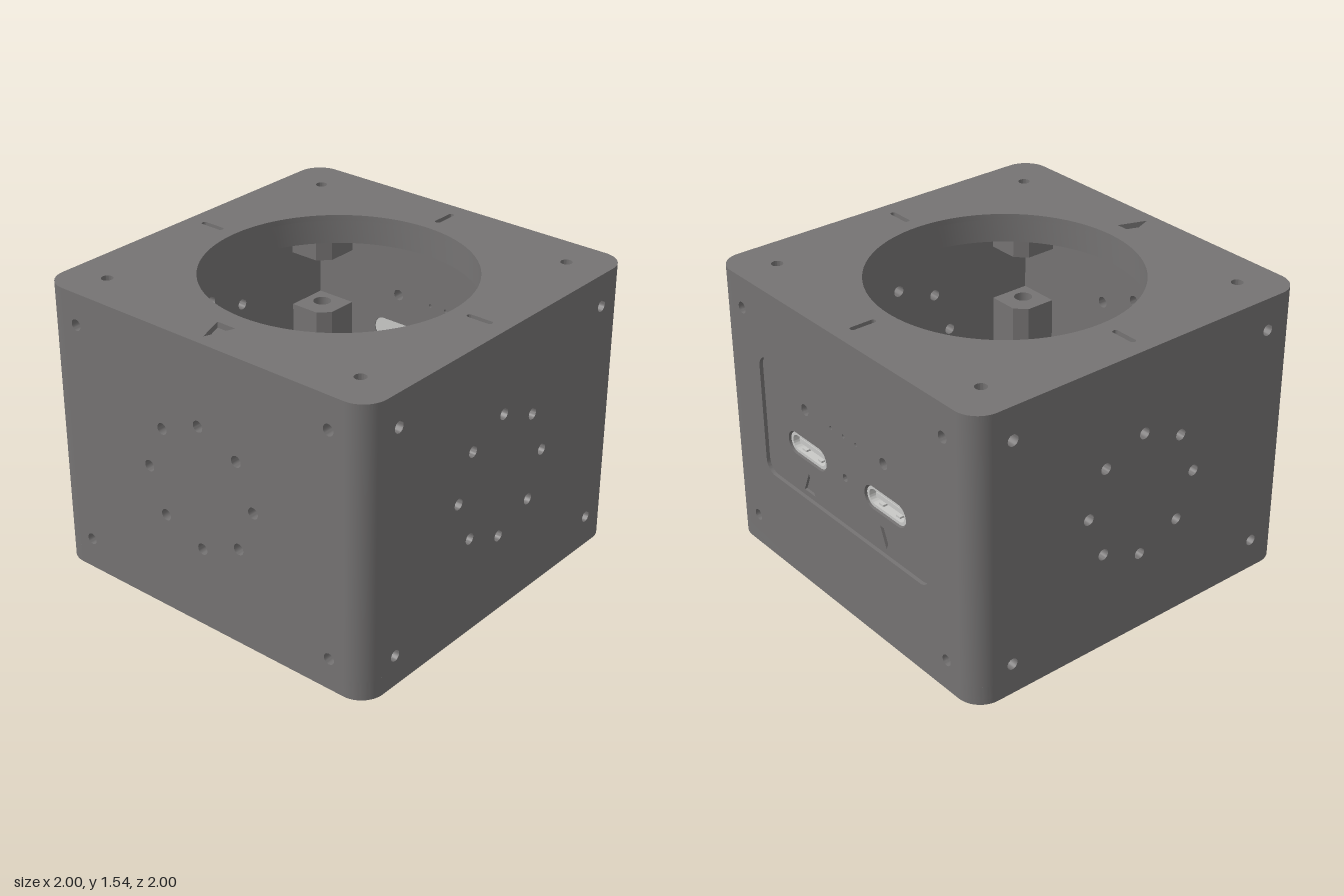
import * as THREE from 'three';
import { toCreasedNormals } from 'three/addons/utils/BufferGeometryUtils.js';

const H = 1.54, R = 0.13, IN = 1 - R, MID = 0.77, SCREW = 0.785;

// ---- outline helpers -------------------------------------------------------
function roundRect(w, h, r, x = 0, y = 0, Type = THREE.Path) {
  const p = new Type(), a = w / 2, b = h / 2, Q = Math.PI / 2;
  p.moveTo(x - a + r, y - b);
  p.absarc(x + a - r, y - b + r, r, -Q, 0, false);
  p.absarc(x + a - r, y + b - r, r, 0, Q, false);
  p.absarc(x - a + r, y + b - r, r, Q, 2 * Q, false);
  p.absarc(x - a + r, y - b + r, r, 2 * Q, 3 * Q, false);
  p.closePath();
  return p;
}
const circle = (x, y, r) => new THREE.Path().absarc(x, y, r, 0, Math.PI * 2, false);
const poly = pts => new THREE.Path(pts.map(([x, y]) => new THREE.Vector2(x, y)));
const corners = (r, x = SCREW, y0 = -SCREW, y1 = SCREW) =>
  [[-x, y0], [x, y0], [-x, y1], [x, y1]].map(([a, b]) => circle(a, b, r));
const ring = (y, r) => Array.from({ length: 8 }, (_, i) =>
  circle(0.333 * Math.cos(i * Math.PI / 4), y + 0.333 * Math.sin(i * Math.PI / 4), r));

function extrude(shape, holes, depth, segments = 12) {
  shape.holes = holes;
  const g = new THREE.ExtrudeGeometry(shape, { depth, bevelEnabled: false, curveSegments: segments });
  return toCreasedNormals(g, 0.6);
}

export function createModel() {
  const model = new THREE.Group();
  model.name = 'enclosure';
  const housing = new THREE.MeshStandardMaterial({ color: 0x757373 });
  housing.name = 'housing grey';
  const metal = new THREE.MeshStandardMaterial({ color: 0xc9c9c7 });
  metal.name = 'connector silver';

  const add = (parent, name, geo, mat = housing) => {
    const m = new THREE.Mesh(geo, mat);
    m.name = name;
    parent.add(m);
    return m;
  };
  // horizontal plate: outline x, -z; rises from y0 to y1
  const slab = (name, shape, holes, y0, y1, segments) => {
    const m = add(model, name, extrude(shape, holes, y1 - y0, segments).rotateX(-Math.PI / 2));
    m.position.y = y0;
    return m;
  };
  const outline = (half, r) => roundRect(2 * half, 2 * half, r, 0, 0, THREE.Shape);

  // ---- walls ---------------------------------------------------------------
  const W0 = 0.1, W1 = H - 0.03;
  const wallLayer = (side, name, holes, from, to) => {
    const shape = new THREE.Shape([[-IN, W0], [IN, W0], [IN, W1], [-IN, W1]].map(p => new THREE.Vector2(...p)));
    const all = [...corners(0.03, SCREW, 0.17, 1.37), ...holes];
    add(side, name, extrude(shape, all, to - from)).position.z = 1 - to;
  };
  [['frontWall', 0], ['portWall', 1], ['backWall', 2], ['plainSideWall', 3]].forEach(([name, k]) => {
    const side = new THREE.Group();
    side.name = name;
    side.rotation.y = k * Math.PI / 2;
    model.add(side);
    if (k !== 1) wallLayer(side, name + 'Plate', ring(MID, 0.03), 0, R);
    else buildPortWall(side);

    // rounded vertical edge and the screw bosses behind it
    const edge = add(side, 'roundedEdge',
      new THREE.CylinderGeometry(R, R, W1 - W0, 16, 1, true, 0, Math.PI / 2));
    edge.position.set(IN, (W0 + W1) / 2, IN);
    const boss = (label, hole, y0, y1) => {
      const s = new THREE.Shape([[0.7, -IN], [IN, -IN], [IN, -0.64], [0.7, -0.64], [0.64, -0.7], [0.64, -IN]]
        .map(p => new THREE.Vector2(...p)));
      const g = extrude(s, hole ? [circle(0.775, -0.775, 0.05)] : [], y1 - y0).rotateX(-Math.PI / 2);
      add(side, label, g).position.y = y0;
    };
    boss('lowerBoss', true, 0.1, 0.86);
    boss('upperBoss', false, 1.17, 1.4);
  });

  // ---- recessed panel with two sockets --------------------------------------
  function buildPortWall(side) {
    const openings = [];
    for (const s of [-1, 1]) {
      openings.push(roundRect(0.32, 0.125, 0.062, 0.315 * s, MID), circle(0.315 * s, 1, 0.03));
    }
    for (const x of [-0.1, 0, 0.1]) openings.push(circle(x, 1, 0.01));
    openings.push(circle(0, MID, 0.02));
    const marks = [
      poly([[-0.36, 0.53], [-0.27, 0.53], [-0.315, 0.64]]),
      poly([[0.315, 0.53], [0.36, 0.64], [0.27, 0.64]]),
    ];
    wallLayer(side, 'panelFrame', [roundRect(1.33, 0.67, 0.07, 0, 0.835)], 0, 0.02);
    wallLayer(side, 'panelFace', [...openings, ...marks], 0.02, 0.035);
    wallLayer(side, 'panelBacking', openings, 0.035, R);

    for (const s of [-1, 1]) {
      const socket = new THREE.Group();
      socket.name = 'socket';
      socket.position.set(0.315 * s, MID, 0);
      side.add(socket);
      add(socket, 'socketShell', extrude(roundRect(0.305, 0.112, 0.056, 0, 0, THREE.Shape),
        [roundRect(0.27, 0.08, 0.04)], 0.09), metal).position.z = 0.88;
      add(socket, 'socketBack', extrude(roundRect(0.32, 0.125, 0.062, 0, 0, THREE.Shape), [], 0.02), metal)
        .position.z = 0.875;
      add(socket, 'socketTongue', new THREE.BoxGeometry(0.22, 0.026, 0.06), metal).position.z = 0.92;
      for (const x of [-0.065, 0.065]) for (const y of [-0.036, 0.036]) {
        add(socket, 'socketSpring', new THREE.BoxGeometry(0.032, 0.012, 0.05), metal).position.set(x, y, 0.93);
      }
    }
  }

  // ---- top: cap with engraved marks over a thicker collar --------------------
  const slots = [
    roundRect(0.14, 0.03, 0.012, 0.84, 0),
    roundRect(0.03, 0.14, 0.012, 0, 0.84),
    roundRect(0.03, 0.14, 0.012, 0, -0.84),
    poly([[-0.94, 0], [-0.79, -0.055], [-0.79, 0.055]]),
  ];
  slab('topCap', outline(1, R), [circle(0, 0, 0.685), ...corners(0.03), ...slots], W1, H, 40);
  slab('topCollar', outline(IN, 0.01), [circle(0, 0, 0.695), ...corners(0.03)], 1.38, W1, 40);

  // ---- base: lip, plate and centre inset -------------------------------------
  slab('baseLip', outline(1, R), [outline(0.955, 0.09)], 0, 0.015);
  slab('baseFace', outline(1, R),
    [...corners(0.065, 0.775, -0.775, 0.775), ...ring(0, 0.022), roundRect(0.34, 0.34, 0.05)], 0.015, 0.03);
  slab('basePlate', outline(1, R), [...corners(0.065, 0.775, -0.775, 0.775), ...ring(0, 0.022)], 0.03, 0.1);
  slab('baseDisc', new THREE.Shape().absarc(0, 0, 0.13, 0, Math.PI * 2, false),
    [circle(-0.06, 0.04, 0.025)], 0.018, 0.03, 24);

  // ---- ribbed floor inside ----------------------------------------------------
  const pockets = [circle(0, 0, 0.27)];
  for (const sx of [-1, 1]) {
    pockets.push(roundRect(0.36, 0.4, 0.05, 0, sx * 0.635));
    for (const sy of [-1, 1]) {
      pockets.push(roundRect(0.39, 0.36, 0.03, sx * 0.425, sy * 0.66));
      pockets.push(poly([[0.82, 0.03], [0.5, 0.03], [0.46, 0.045], [0.435, 0.08], [0.41, 0.15], [0.36, 0.24],
        [0.28, 0.325], [0.265, 0.37], [0.28, 0.415], [0.32, 0.435], [0.82, 0.435]]
        .map(([x, y]) => [x * sx, y * sy])));
    }
  }
  slab('ribbedFloor', outline(IN, 0.01), [...corners(0.065, 0.775, -0.775, 0.775), ...pockets], 0.1, 0.16, 24);

  return model;
}
